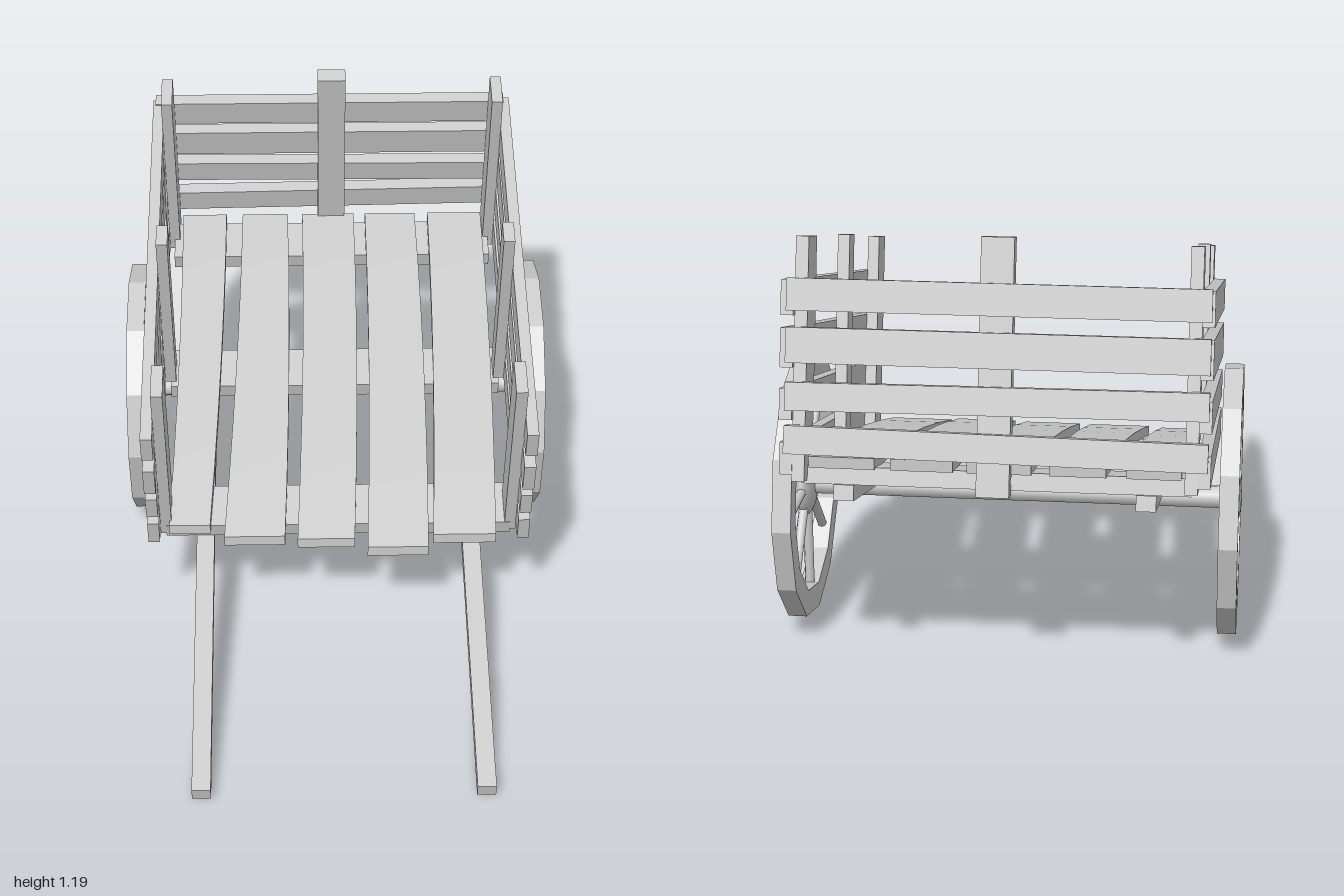
import * as THREE from 'three';

const material = new THREE.MeshStandardMaterial({ color: 0xcccccc });
const cartUp = new THREE.Vector3(0, 0.963, 0.27); // the bed is pitched, resting on its shafts

function add(group, name, geometry) {
  const mesh = new THREE.Mesh(geometry, material);
  mesh.name = name;
  group.add(mesh);
  return mesh;
}

// Straight timber from a to b; w is the size across, h the size along "up"
function beam(group, name, a, b, w, h, up) {
  const start = new THREE.Vector3(...a), end = new THREE.Vector3(...b);
  const mesh = add(group, name, new THREE.BoxGeometry(w, h, start.distanceTo(end)));
  if (up) mesh.up.copy(up);
  mesh.position.copy(start).lerp(end, 0.5);
  mesh.lookAt(end);
  return mesh;
}

// Floor board, slightly arched and bowed sideways between its two ends
function floorBoard(group, front, back, zFront) {
  const geo = new THREE.BoxGeometry(1, 0.03, 1, 1, 1, 6);
  const p = geo.attributes.position;
  for (let i = 0; i < p.count; i++) {
    const t = 0.5 - p.getZ(i), side = p.getX(i) + 0.5, bulge = 4 * t * (1 - t);
    const left = THREE.MathUtils.lerp(front[0], back[0], t);
    const right = THREE.MathUtils.lerp(front[1], back[1], t);
    const z = THREE.MathUtils.lerp(zFront, -0.93, t);
    p.setXYZ(i, THREE.MathUtils.lerp(left, right, side) + 0.008 * bulge,
      0.375 - 0.275 * z + p.getY(i) + 0.015 * bulge, z);
  }
  geo.computeVertexNormals();
  add(group, 'floorBoard', geo);
}

function polygonPath(path, radius, sides) {
  for (let i = 0; i < sides; i++) {
    const a = (i / sides) * Math.PI * 2;
    path[i ? 'lineTo' : 'moveTo'](Math.cos(a) * radius, Math.sin(a) * radius);
  }
  path.closePath();
  return path;
}

// Spoked wheel, built around the z axis and turned to face sideways
function makeWheel() {
  const wheel = new THREE.Group();
  wheel.name = 'wheel';
  const ring = polygonPath(new THREE.Shape(), 0.365, 12);
  ring.holes.push(polygonPath(new THREE.Path(), 0.295, 12));
  const rimGeo = new THREE.ExtrudeGeometry(ring, { depth: 0.05, bevelEnabled: false });
  rimGeo.translate(0, 0, -0.025);
  add(wheel, 'rim', rimGeo);
  for (let i = 0; i < 8; i++) {
    const spoke = new THREE.CylinderGeometry(0.013, 0.013, 0.26, 8);
    spoke.translate(0, 0.18, 0).rotateZ((i * Math.PI) / 4);
    add(wheel, 'spoke', spoke);
  }
  add(wheel, 'hub', new THREE.SphereGeometry(0.09, 20, 12)).scale.z = 0.33;
  wheel.rotation.y = Math.PI / 2;
  return wheel;
}

export function createModel() {
  const cart = new THREE.Group();
  cart.name = 'cart';

  // Side planks: front end [z, y], back end [z, y], height
  const planks = [
    [[0.383, 0.695], [-0.875, 1.04], 0.088],
    [[0.355, 0.565], [-0.905, 0.92], 0.098],
    [[0.312, 0.445], [-0.94, 0.785], 0.078],
    [[0.28, 0.335], [-0.96, 0.65], 0.08],
  ];
  // Side posts: bottom [z, y], top [z, y], width
  const posts = [
    [[0.15, 0.29], [0.305, 0.865], 0.11],
    [[-0.35, 0.45], [-0.2, 1.012], 0.075],
    [[-0.92, 0.58], [-0.76, 1.165], 0.11],
  ];
  for (const s of [-1, 1]) {
    for (const [f, b, h] of planks)
      beam(cart, 'sidePlank', [s * 0.516, f[1], f[0]], [s * 0.516, b[1], b[0]], 0.032, h);
    for (const [lo, hi, w] of posts)
      beam(cart, 'sidePost', [s * 0.485, lo[1], lo[0]], [s * 0.485, hi[1], hi[0]], 0.032, w);
    // Pulling shaft running the whole length below the bed
    beam(cart, 'shaft', [s * 0.375, 0.022, 0.995], [s * 0.375, 0.56, -0.95], 0.05, 0.04);
    const wheel = makeWheel();
    wheel.position.set(s * 0.575, 0.367, -0.4);
    cart.add(wheel);
  }

  // Tailboard: plank end heights on each side, depth and size
  const tail = [
    [1.048, 1.048, -0.872, 0.08], [0.928, 0.928, -0.905, 0.088],
    [0.812, 0.806, -0.938, 0.07], [0.69, 0.704, -0.968, 0.07],
  ];
  for (const [y0, y1, z, h] of tail)
    beam(cart, 'backPlank', [-0.525, y0, z], [0.515, y1, z], 0.04, h, cartUp);
  beam(cart, 'backPost', [0, 0.57, -0.965], [0, 1.19, -0.81], 0.082, 0.05);

  // Cross members under the floor
  for (const [y, z] of [[0.305, 0.14], [0.43, -0.37], [0.578, -0.86]])
    beam(cart, 'crossMember', [-0.485, y, z], [0.485, y, z], 0.14, 0.045, cartUp);

  // Floor boards: front edges, back edges, front end z
  const boards = [
    [[-0.475, -0.36], [-0.46, -0.325], 0.235],
    [[-0.32, -0.15], [-0.275, -0.135], 0.275],
    [[-0.115, 0.045], [-0.09, 0.07], 0.285],
    [[0.08, 0.25], [0.105, 0.26], 0.315],
    [[0.265, 0.44], [0.3, 0.465], 0.275],
  ];
  for (const [front, back, z] of boards) floorBoard(cart, front, back, z);

  // Axle joining the wheels
  const axle = add(cart, 'axle', new THREE.CylinderGeometry(0.03, 0.03, 1.15, 12));
  axle.rotation.z = Math.PI / 2;
  axle.position.set(0, 0.367, -0.4);

  return cart;
}
